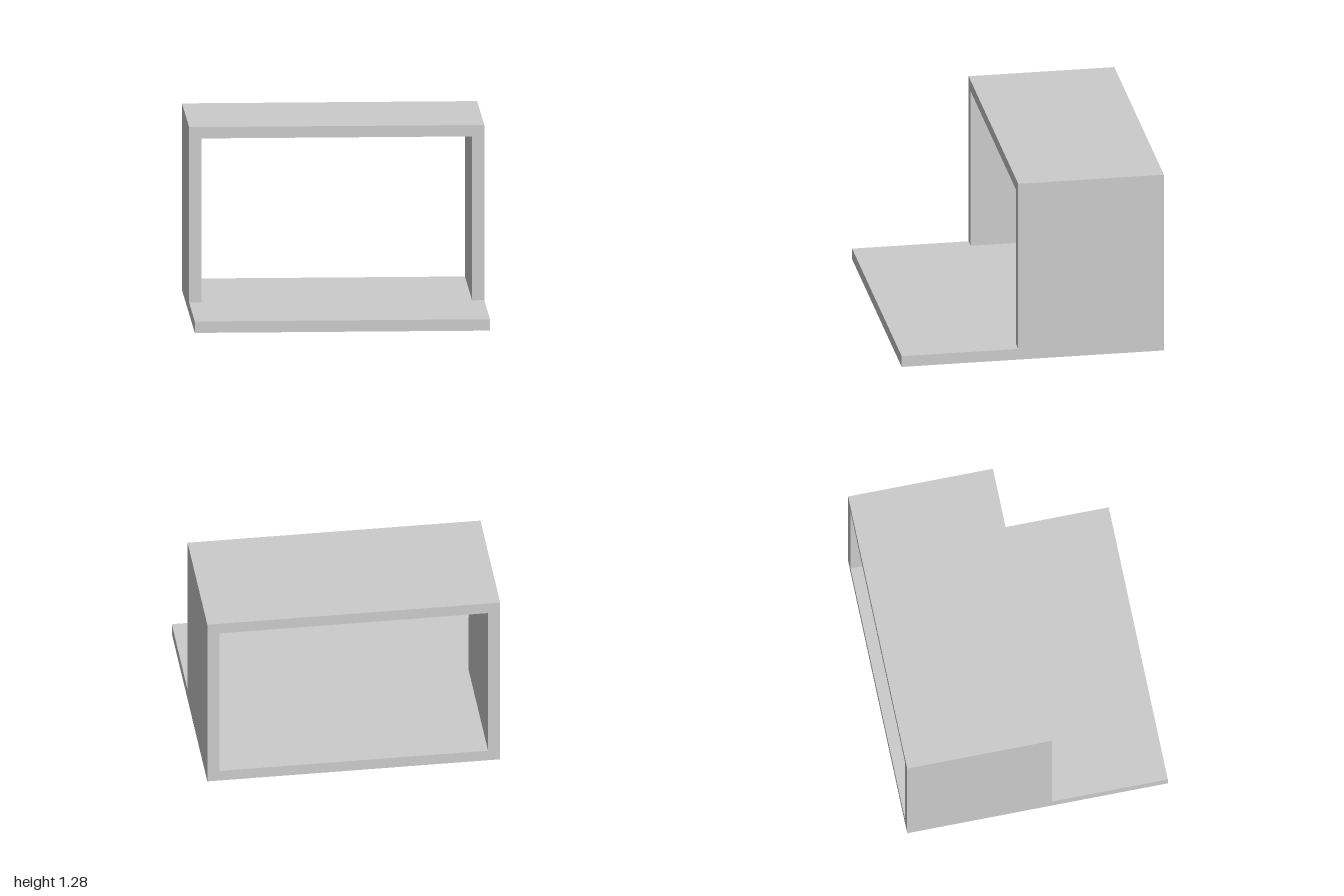
import * as THREE from 'three';

export function createModel() {
  const model = new THREE.Group();
  const material = new THREE.MeshStandardMaterial({ color: 0xcccccc, flatShading: true });
  const slab = 0.078, wall = 0.083, height = 1.28;
  const back = -0.9, front = 0.9, archDepth = 1.0;

  // Full-depth floor slab
  const base = new THREE.Mesh(new THREE.BoxGeometry(2, slab, front - back), material);
  base.name = 'basePlate';
  base.position.y = slab / 2;
  model.add(base);

  // Two side walls and the roof as one open arch over the rear of the floor
  const inner = 1 - wall, ceiling = height - slab;
  const outline = new THREE.Shape([
    [-1, slab], [-inner, slab], [-inner, ceiling], [inner, ceiling],
    [inner, slab], [1, slab], [1, height], [-1, height],
  ].map(([x, y]) => new THREE.Vector2(x, y)));
  const arch = new THREE.Mesh(
    new THREE.ExtrudeGeometry(outline, { depth: archDepth, bevelEnabled: false }), material);
  arch.name = 'wallsAndRoof';
  arch.position.z = back;
  model.add(arch);

  return model;
}
